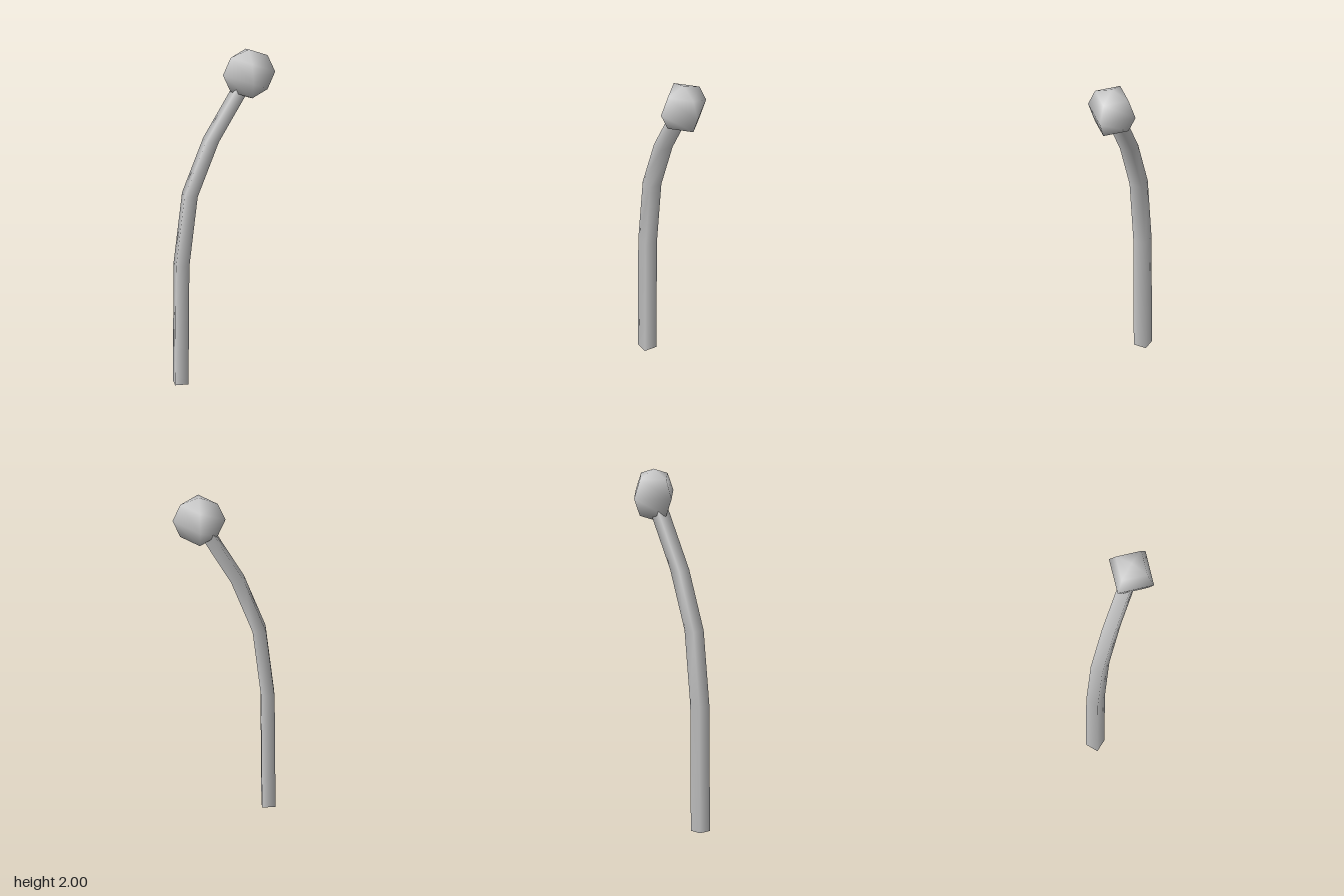
import * as THREE from 'three';

export function createModel() {
  const group = new THREE.Group();
  const material = new THREE.MeshStandardMaterial({ color: 0xcccccc });

  // Centre of each level stem ring: [x, y], from the ground to the head
  const rings = [[-0.248, 0], [-0.243, 0.72], [-0.196, 1.14], [-0.077, 1.465], [0.137, 1.853]];
  const last = rings.length - 1;
  const half = 0.0375;

  // Square stem, sheared ring by ring along the bend
  const stemGeometry = new THREE.CylinderGeometry(half * Math.SQRT2, half * Math.SQRT2, 1, 4, last);
  stemGeometry.rotateY(Math.PI / 4);
  const pos = stemGeometry.attributes.position;
  const nor = stemGeometry.attributes.normal;
  const n = new THREE.Vector3();
  for (let i = 0; i < pos.count; i++) {
    const k = Math.round((pos.getY(i) + 0.5) * last);
    const [x, y] = rings[k];
    pos.setXYZ(i, pos.getX(i) + x, y, pos.getZ(i));
    // Tilt the side normals with the local slope; the end caps stay level
    n.fromBufferAttribute(nor, i);
    if (Math.abs(n.y) < 0.5) {
      const a = rings[Math.max(k - 1, 0)];
      const b = rings[Math.min(k + 1, last)];
      n.y -= n.x * (b[0] - a[0]) / (b[1] - a[1]);
      n.normalize();
      nor.setXYZ(i, n.x, n.y, n.z);
    }
  }
  const stem = new THREE.Mesh(stemGeometry, material);
  stem.name = 'stem';
  group.add(stem);

  // Low-poly round head on the tip
  const head = new THREE.Mesh(new THREE.SphereGeometry(0.147, 4, 4), material);
  head.name = 'head';
  head.position.set(0.137, 1.853, 0);
  group.add(head);

  return group;
}
